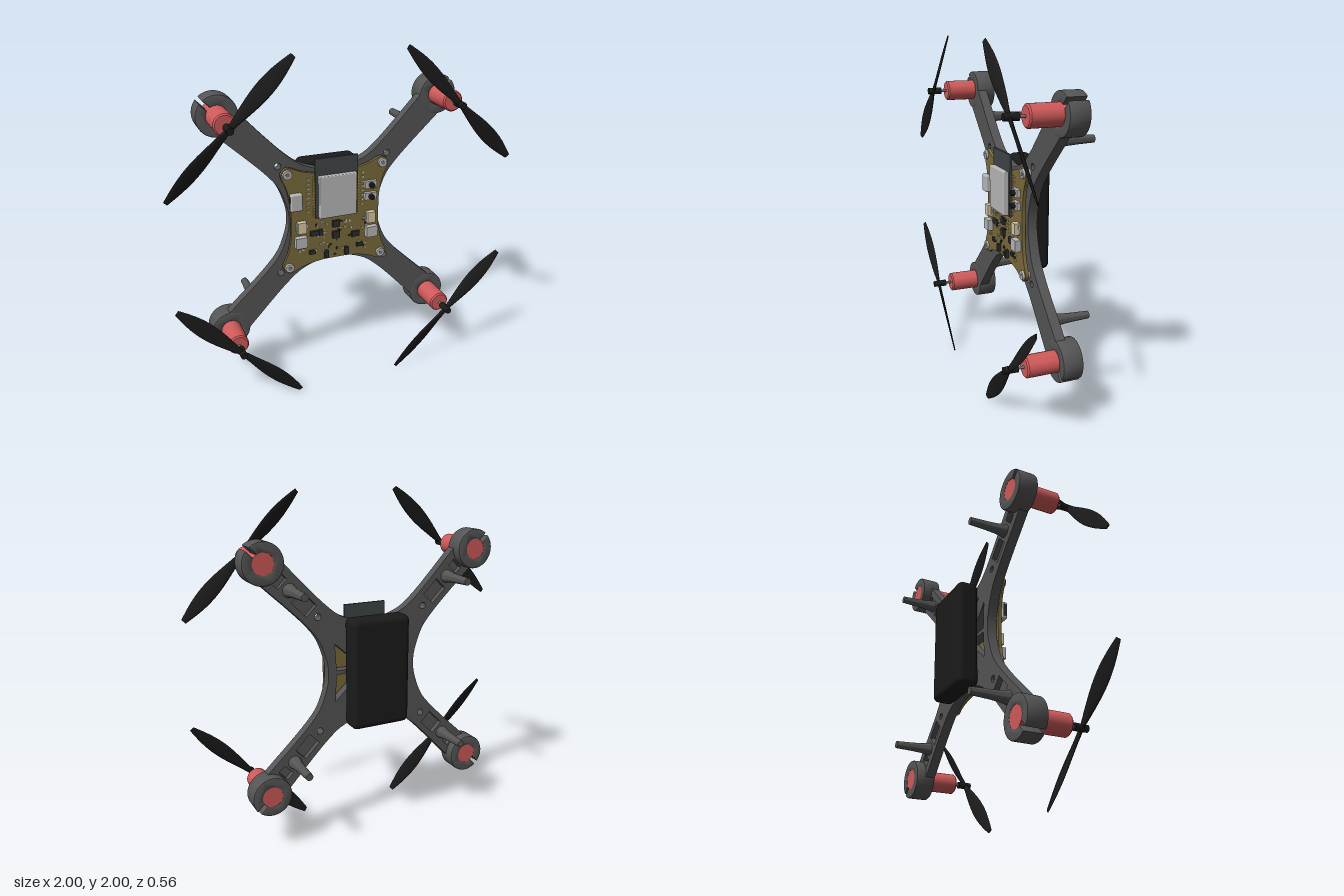
import * as THREE from 'three';
import { RoundedBoxGeometry } from 'three/addons/geometries/RoundedBoxGeometry.js';
import { toCreasedNormals } from 'three/addons/utils/BufferGeometryUtils.js';

const mat = (color) => new THREE.MeshStandardMaterial({ color });
const M = {
  frame: mat(0x555555), black: mat(0x1b1b1b), motor: mat(0xd05a5a), shaft: mat(0x777777), board: mat(0x7b6b3a),
  silver: mat(0xb8b8b8), dark: mat(0x3f4545), chip: mat(0x2b2b2b), cream: mat(0xd8c8a8), gold: mat(0xb59a4a),
};

function add(parent, name, geometry, material, x = 0, y = 0, z = 0) {
  const mesh = new THREE.Mesh(geometry, material);
  mesh.name = name;
  mesh.position.set(x, y, z);
  parent.add(mesh);
  return mesh;
}

// Round part whose axis runs along z
function rod(r0, r1, length, sides = 32) {
  return new THREE.CylinderGeometry(r1, r0, length, sides).rotateX(Math.PI / 2);
}

// Plate between two z values, rounded faces kept smooth
function plate(shape, z0, z1, bevel = 0) {
  const g = new THREE.ExtrudeGeometry(shape, {
    depth: z1 - z0 - 2 * bevel, curveSegments: 32, bevelEnabled: bevel > 0,
    bevelThickness: bevel, bevelSize: bevel, bevelOffset: -bevel, bevelSegments: 2,
  });
  return toCreasedNormals(g.translate(0, 0, z0 + bevel), 0.6);
}

// Four-fold outline: one concave side, given from its middle to its end, turned by quarters
function fourSided(half) {
  const side = [...half.slice(1).reverse().map(([x, y]) => [x, -y]), ...half];
  const curve = new THREE.SplineCurve(side.map(([x, y]) => new THREE.Vector2(x, y)));
  const points = [];
  for (let q = 0; q < 4; q++) {
    for (const p of curve.getPoints(48)) points.push(p.rotateAround(new THREE.Vector2(), q * Math.PI / 2));
  }
  return new THREE.Shape(points);
}

function cut(shape, corners) {
  shape.holes.push(new THREE.Path(corners.map(([x, y]) => new THREE.Vector2(x, y))));
}

function cutCircle(shape, x, y, r) {
  const hole = new THREE.Path();
  hole.absarc(x, y, r, 0, Math.PI * 2, true);
  shape.holes.push(hole);
}

const corners = [[1, 1], [-1, 1], [-1, -1], [1, -1]];

// Frame outline with corner holes, triangular windows and optional arm pockets
function frameShape(pockets) {
  const s = fourSided([[0.275, 0], [0.285, 0.08], [0.33, 0.2], [0.4, 0.29], [0.5, 0.39], [0.58, 0.465], [0.67, 0.55]]);
  for (const [sx, sy] of corners) {
    cutCircle(s, sx * 0.333, sy * 0.333, 0.019);
    cut(s, [[0.012, 0.06], [0.012, 0.225], [0.17, 0.235]].map(([x, y]) => [sx * x, sy * y]));
    cut(s, [[0.06, 0.012], [0.225, 0.012], [0.235, 0.17]].map(([x, y]) => [sx * x, sy * y]));
    if (!pockets) continue;
    for (const [a, b, w] of [[0.37, 0.455, 0.03], [0.53, 0.565, 0.026]]) {
      cut(s, [[a + w, a - w], [b + w, b - w], [b - w, b + w], [a - w, a + w]].map(([x, y]) => [sx * x, sy * y]));
    }
  }
  return s;
}

// Slotted ring that clamps a motor, slot facing +x
function clampShape() {
  const s = new THREE.Shape();
  s.absarc(0, 0, 0.115, 0.1, Math.PI * 2 - 0.1, false);
  s.absarc(0, 0, 0.057, Math.PI * 2 - 0.2, 0.2, true);
  s.closePath();
  return s;
}

// Two twisted blades along x, shaped from a tube by a chord rule
function bladeGeometry(hand) {
  const g = new THREE.CylinderGeometry(1, 1, 2, 16, 40).rotateZ(Math.PI / 2);
  const p = g.attributes.position;
  for (let i = 0; i < p.count; i++) {
    const t = p.getX(i), u = Math.abs(t);
    const chord = 0.015 + 0.03 * Math.sin(Math.PI * Math.pow(u, 1.2));
    const thick = 0.009 - 0.005 * u;
    const a = hand * 0.3 * Math.max(-1, Math.min(1, t * 6));
    const y = p.getY(i) * chord, z = p.getZ(i) * thick;
    p.setXYZ(i, t * 0.478, y * Math.cos(a) - z * Math.sin(a), y * Math.sin(a) + z * Math.cos(a));
  }
  g.computeVertexNormals();
  return toCreasedNormals(g, 0.9);
}

function rotorUnit(sx, sy) {
  const unit = new THREE.Group();
  unit.name = 'rotorUnit';
  unit.position.set(sx * 0.65, sy * 0.65, 0);
  unit.rotation.z = Math.atan2(sy, sx);
  add(unit, 'motorClamp', plate(clampShape(), -0.125, -0.01, 0.008), M.frame);
  const can = [[0, -0.122], [0.06, -0.122], [0.06, 0.157], [0.052, 0.165], [0, 0.165]];
  const canGeo = new THREE.LatheGeometry(can.map(([r, z]) => new THREE.Vector2(r, z)), 40).rotateX(Math.PI / 2);
  add(unit, 'motor', toCreasedNormals(canGeo, 0.6), M.motor);
  add(unit, 'motorShaft', rod(0.008, 0.008, 0.09, 12), M.shaft, 0, 0, 0.2);
  add(unit, 'propellerHub', rod(0.021, 0.019, 0.08, 20), M.black, 0, 0, 0.24);
  add(unit, 'propeller', bladeGeometry(sx * sy), M.black, 0, 0, 0.247).rotation.z = Math.PI / 2;
  return unit;
}

function circuitBoard() {
  const board = new THREE.Group();
  board.name = 'circuitBoard';
  const outline = fourSided([[0.272, 0], [0.275, 0.1], [0.295, 0.2], [0.322, 0.262], [0.327, 0.29], [0.315, 0.315]]);
  const top = 0.022;
  add(board, 'boardPlate', plate(outline, 0.002, top), M.board);
  const box = (name, m, x, y, w, h, d, z = top) => add(board, name, new THREE.BoxGeometry(w, h, d), m, x, y, z + d / 2);

  // Radio module with overhanging antenna and metal lid
  box('radioModule', M.dark, 0, 0.185, 0.26, 0.36, 0.012, 0.026);
  box('moduleSpacer', M.dark, 0, 0.14, 0.25, 0.26, 0.006);
  add(board, 'moduleLid', new RoundedBoxGeometry(0.228, 0.255, 0.034, 2, 0.006), M.silver, 0, 0.138, 0.053);
  for (let i = 0; i < 14; i++) {
    for (const s of [-1, 1]) box('modulePad', M.gold, s * 0.134, 0.02 + i * 0.018, 0.014, 0.009, 0.006);
  }

  // Corner screws and standoffs
  for (const [sx, sy] of corners) {
    add(board, 'standoff', rod(0.025, 0.025, 0.02, 20), M.silver, sx * 0.29, sy * 0.29, -0.005);
    add(board, 'screwHead', rod(0.029, 0.026, 0.014, 24), M.silver, sx * 0.29, sy * 0.29, top + 0.005);
    add(board, 'screwSocket', rod(0.013, 0.013, 0.004, 6), M.shaft, sx * 0.29, sy * 0.29, top + 0.012);
  }

  // Charging port
  add(board, 'chargingPort', new RoundedBoxGeometry(0.072, 0.105, 0.036, 2, 0.01), M.silver, -0.247, 0.125, top + 0.018);
  box('portOpening', M.chip, -0.2835, 0.125, 0.002, 0.075, 0.018, top + 0.009);

  // Push buttons
  for (const y of [0.168, 0.096]) {
    box('buttonBody', M.silver, 0.213, y, 0.074, 0.044, 0.022);
    add(board, 'buttonCap', rod(0.016, 0.016, 0.046, 16), M.black, 0.213, y, top + 0.023);
  }

  // Side connectors and larger chips
  for (const s of [-1, 1]) {
    box('connector', M.cream, s * 0.216, -0.037, 0.05, 0.068, 0.032);
    box('connectorBase', M.silver, s * 0.216, -0.037, 0.064, 0.05, 0.012);
    box('metalSocket', M.silver, s * 0.222, -0.13, 0.07, 0.066, 0.034);
    box('diode', M.chip, s * 0.064, -0.235, 0.024, 0.046, 0.02);
    box('transistor', M.chip, s * 0.15, -0.21, 0.036, 0.024, 0.014);
  }
  for (const [x, y, w, h] of [[0, -0.05, 0.045, 0.042], [0, -0.12, 0.045, 0.045], [0.122, -0.135, 0.05, 0.034],
    [-0.135, -0.09, 0.05, 0.03], [-0.095, -0.09, 0.024, 0.036]]) box('chip', M.chip, x, y, w, h, 0.014);

  // Small surface parts, scattered by a seeded sequence
  let seed = 7;
  const next = () => (seed = (seed * 16807) % 2147483647) / 2147483647;
  for (let i = 0; i < 60; i++) {
    const x = (next() - 0.5) * 0.46, y = -0.25 + next() * 0.23;
    const flip = next() > 0.5;
    const m = [M.chip, M.silver, M.cream][i % 3];
    box('smallPart', m, x, y, flip ? 0.015 : 0.008, flip ? 0.008 : 0.015, 0.007);
  }
  for (let i = 0; i < 8; i++) {
    box('smallPart', M.cream, 0.165, 0.05 + i * 0.028, 0.014, 0.008, 0.007);
    box('smallPart', M.silver, -0.17, 0.05 + i * 0.028, 0.014, 0.008, 0.007);
  }
  return board;
}

export function createModel() {
  const model = new THREE.Group();
  model.name = 'quadcopter';
  const body = new THREE.Group();
  body.name = 'body';
  body.position.y = 1;
  model.add(body);

  // Frame: front skin plus a ribbed back layer
  add(body, 'frameSkin', plate(frameShape(false), -0.038, -0.012), M.frame);
  add(body, 'frameRibs', plate(frameShape(true), -0.068, -0.038), M.frame);

  // Flared landing legs
  const legProfile = [[0, 0], [0.04, 0], [0.036, 0.02], [0.029, 0.06], [0.025, 0.12], [0.021, 0.22], [0, 0.22]];
  const legGeo = toCreasedNormals(
    new THREE.LatheGeometry(legProfile.map(([r, h]) => new THREE.Vector2(r, h)), 24).rotateX(-Math.PI / 2), 0.6);
  for (const [sx, sy] of corners) {
    add(body, 'landingLeg', legGeo, M.frame, sx * 0.493, sy * 0.493, -0.064);
    body.add(rotorUnit(sx, sy));
  }

  add(body, 'battery', new RoundedBoxGeometry(0.36, 0.64, 0.126, 5, 0.035), M.black, 0, 0, -0.132);
  body.add(circuitBoard());
  return model;
}
